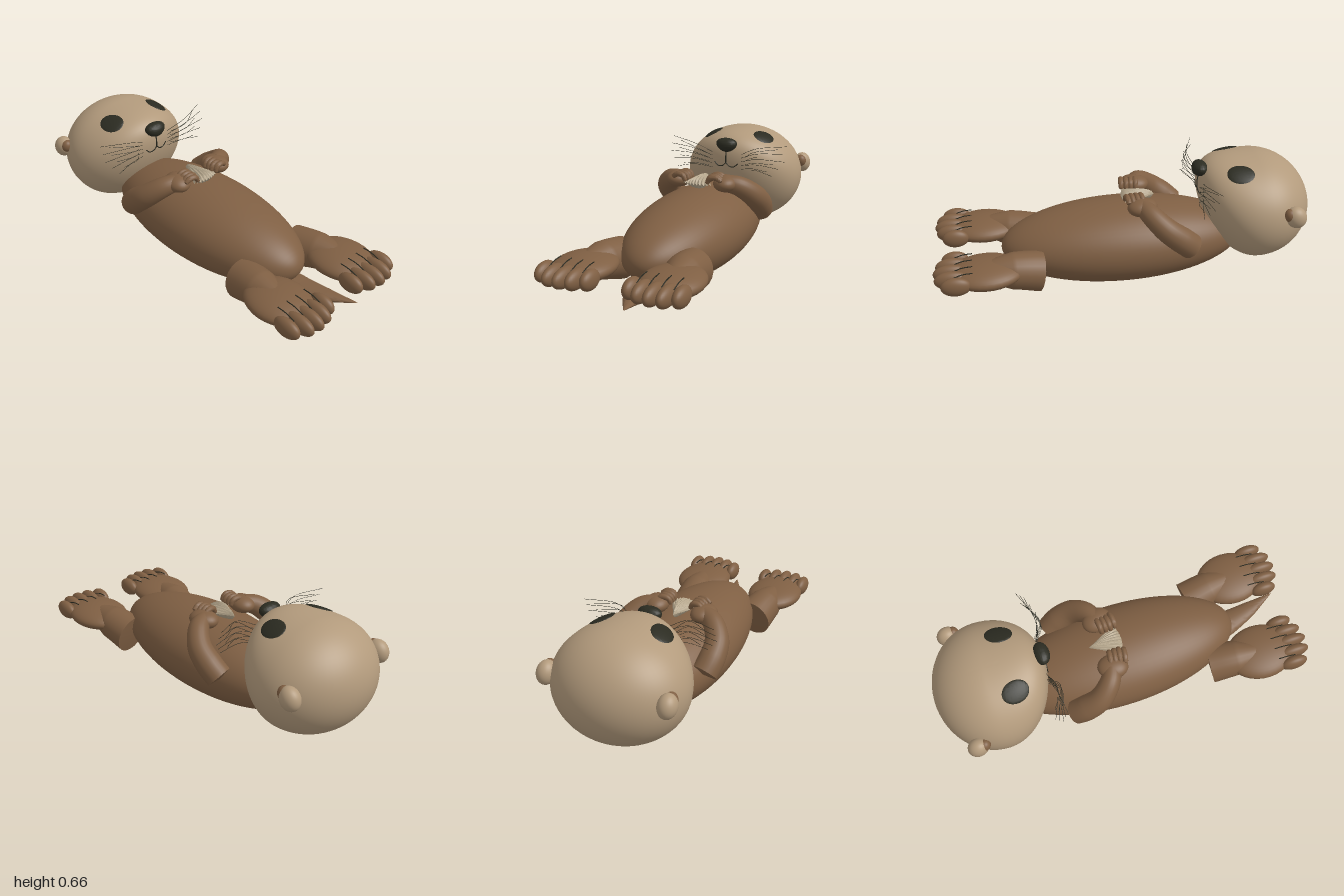
import * as THREE from 'three';
import { toCreasedNormals } from 'three/addons/utils/BufferGeometryUtils.js';

const mat = (name, color, extra = {}) => {
  const m = new THREE.MeshStandardMaterial({ color, ...extra });
  m.name = name;
  return m;
};
const V = (x, y, z) => new THREE.Vector3(x, y, z);

// Move every vertex by a rule, then smooth the result
function reshape(geo, rule, crease = 1) {
  const p = geo.attributes.position, v = new THREE.Vector3();
  for (let i = 0; i < p.count; i++) {
    v.fromBufferAttribute(p, i);
    rule(v, i);
    p.setXYZ(i, v.x, v.y, v.z);
  }
  return toCreasedNormals(geo, crease);
}

// Tapered tube with closed ends; flat squashes it in height
function limb(points, radii, { n = 32, sides = 24, flat = 1 } = {}) {
  const curve = new THREE.CatmullRomCurve3(points.map(a => V(...a)));
  const geo = new THREE.TubeGeometry(curve, n, 1, sides);
  return reshape(geo, (v, i) => {
    const ring = Math.floor(i / (sides + 1)), t = ring / n;
    const c = curve.getPointAt(t);
    const f = t * (radii.length - 1), k = Math.min(Math.floor(f), radii.length - 2);
    const r = ring === 0 || ring === n ? 0 : THREE.MathUtils.lerp(radii[k], radii[k + 1], f - k);
    v.sub(c).multiplyScalar(r);
    v.y *= flat;
    v.add(c);
  });
}

// Head surface: an egg whose front is raised; a and b are unit sphere x and y
function headAt(a, b, front = true) {
  const c = Math.sqrt(Math.max(0, 1 - a * a - b * b)) * (front ? 1 : -1);
  return V(a * 0.342, 0.375 + b * 0.283 + (c > 0 ? 0.13 * c * c : 0), -0.7 + c * 0.3);
}

export function createModel() {
  const group = new THREE.Group();
  const fur = mat('brown fur', 0x7f5f43);
  const pale = mat('pale fur', 0xb29a7c);
  const dark = mat('dark features', 0x2b2b21);
  const shellMat = mat('shell', 0xb5a68c, { side: THREE.DoubleSide });

  const add = (name, geo, m) => {
    const mesh = new THREE.Mesh(geo, m);
    mesh.name = name;
    group.add(mesh);
    return mesh;
  };
  const ball = (name, m, pos, rad, rot = [0, 0, 0]) => {
    const mesh = add(name, new THREE.SphereGeometry(1, 32, 20), m);
    mesh.position.set(...pos);
    mesh.scale.set(...rad);
    mesh.rotation.set(...rot);
    return mesh;
  };
  const line = (name, pts, r) =>
    add(name, new THREE.TubeGeometry(new THREE.CatmullRomCurve3(pts), 14, r, 5), dark);

  // Body and tail
  const torso = add('body', new THREE.SphereGeometry(1, 56, 40).rotateX(Math.PI / 2), fur);
  torso.scale.set(0.28, 0.215, 0.65);
  torso.position.set(0, 0.216, 0);
  add('tail', limb([[0, 0.11, 0.48], [0.015, 0.108, 0.62], [0.05, 0.12, 0.78], [0.1, 0.14, 0.95]],
    [0.085, 0.075, 0.045, 0.002], { flat: 0.55 }), fur);

  // Head
  add('head', reshape(new THREE.SphereGeometry(1, 56, 40), v => {
    v.copy(headAt(v.x, v.y, v.z > 0));
  }), pale);

  // Nose, wider at the top, with nostrils
  add('nose', reshape(new THREE.SphereGeometry(1, 32, 24), v => {
    v.set(v.x * 0.068 * (0.88 + 0.2 * v.y), v.y * 0.04 + 0.592, v.z * 0.042 - 0.409);
  }), dark);
  line('philtrum', [0.25, 0.15, 0.05, -0.05].map(b => headAt(0, b).add(V(0, 0, 0.002))), 0.0035);

  for (const s of [1, -1]) {
    const side = s > 0 ? 'left' : 'right';

    // Eye: a thin domed plate following the head
    const eye = new THREE.SphereGeometry(1, 32, 16);
    const tilt = s * 0.25;
    add(side + 'Eye', reshape(eye, v => {
      const ex = v.x * 0.051, ez = v.z * 0.07, h = v.y;
      const x = s * 0.157 + ex * Math.cos(tilt) - ez * Math.sin(tilt);
      const z = -0.585 + ex * Math.sin(tilt) + ez * Math.cos(tilt);
      const a = x / 0.342, c = (z + 0.7) / 0.3;
      v.copy(headAt(a, Math.sqrt(Math.max(0, 1 - a * a - c * c)))).add(V(0, 0.002 + h * 0.006, 0));
    }), dark);

    // Mouth and whiskers
    line(side + 'Mouth', [[0, -0.05], [0.06, -0.11], [0.14, -0.11], [0.21, -0.03]]
      .map(([a, b]) => headAt(s * a, b).add(V(0, 0, 0.002))), 0.003);
    for (let i = 0; i < 9; i++) {
      const k = i / 8, odd = i % 2;
      const p = headAt(s * (0.26 + 0.07 * odd), 0.18 - 0.32 * k);
      const reach = 0.35 - 0.05 * odd - 0.12 * Math.max(0, k - 0.5);
      const endY = 0.62 - 0.16 * k;
      line(side + 'Whisker', [p,
        V(s * (0.19 - 0.01 * odd), THREE.MathUtils.lerp(p.y, endY, 0.5) + 0.01, -0.385 + 0.02 * odd),
        V(s * reach, endY - 0.012, -0.44 + 0.07 * k)], 0.0011);
    }

    // Ear with a brown hollow in front
    ball(side + 'Ear', pale, [s * 0.312, 0.43, -0.845], [0.047, 0.06, 0.053], [0.5, 0, 0]);
    ball(side + 'InnerEar', fur, [s * 0.314, 0.442, -0.815], [0.033, 0.04, 0.033], [0.5, 0, 0]);

    // Arm, paw and curled fingers
    add(side + 'Arm', limb([[s * 0.245, 0.265, -0.325], [s * 0.26, 0.32, -0.265], [s * 0.255, 0.385, -0.185],
      [s * 0.2, 0.445, -0.115], [s * 0.13, 0.465, -0.08]], [0.068, 0.068, 0.062, 0.055, 0.045]), fur);
    ball(side + 'Paw', fur, [s * 0.135, 0.463, -0.08], [0.065, 0.045, 0.08], [0, s * 0.25, 0]);
    for (let i = 0; i < 4; i++) {
      const z = -0.082 + i * 0.025, o = s * (i === 3 ? 0.008 : 0);
      add(side + 'Finger', limb([[s * 0.135 + o, 0.485, z - 0.005], [s * 0.105 + o, 0.505, z],
        [s * 0.07 + o, 0.5, z + 0.004], [s * 0.054 + o, 0.468, z + 0.006]],
        [0.013, 0.015, 0.015, 0.011], { n: 16, sides: 12 }), fur);
    }

    // Hind leg and broad foot
    add(side + 'Leg', limb([[s * 0.195, 0.173, 0.455], [s * 0.215, 0.2, 0.58], [s * 0.235, 0.22, 0.76]],
      [0.108, 0.095, 0.05]), fur);
    ball(side + 'Foot', fur, [s * 0.232, 0.22, 0.735], [0.153, 0.06, 0.19]);
    for (let i = 0; i < 5; i++) {
      const x = 0.108 + i * 0.0605, len = [0.07, 0.085, 0.09, 0.088, 0.075][i];
      ball(side + 'Toe', fur, [s * x, 0.225, [0.89, 0.905, 0.91, 0.905, 0.885][i]],
        [0.034, 0.05, len]);
      if (i < 4) {
        const lx = s * (x + 0.03);
        line(side + 'ToeLine', [V(lx, 0.276, 0.80), V(lx, 0.272, 0.85), V(lx, 0.255, 0.9)], 0.0028);
      }
    }
  }

  // Ribbed shell held between the paws
  for (const up of [1, -1]) {
    add(up > 0 ? 'shellTop' : 'shellBottom', reshape(new THREE.PlaneGeometry(2, 1, 72, 14), v => {
      const a = v.x * 0.5, r = v.y + 0.5;
      const dome = 2 * Math.sqrt(Math.max(0, r * (1 - r))) * Math.cos(v.x * Math.PI / 2);
      const rib = 0.005 * r * Math.cos(v.x * Math.PI * 9);
      v.set(0.168 * r * Math.sin(a), 0.463 + up * dome * 0.034 + rib, -0.165 + 0.175 * r * Math.cos(a));
    }), shellMat);
  }
  return group;
}
